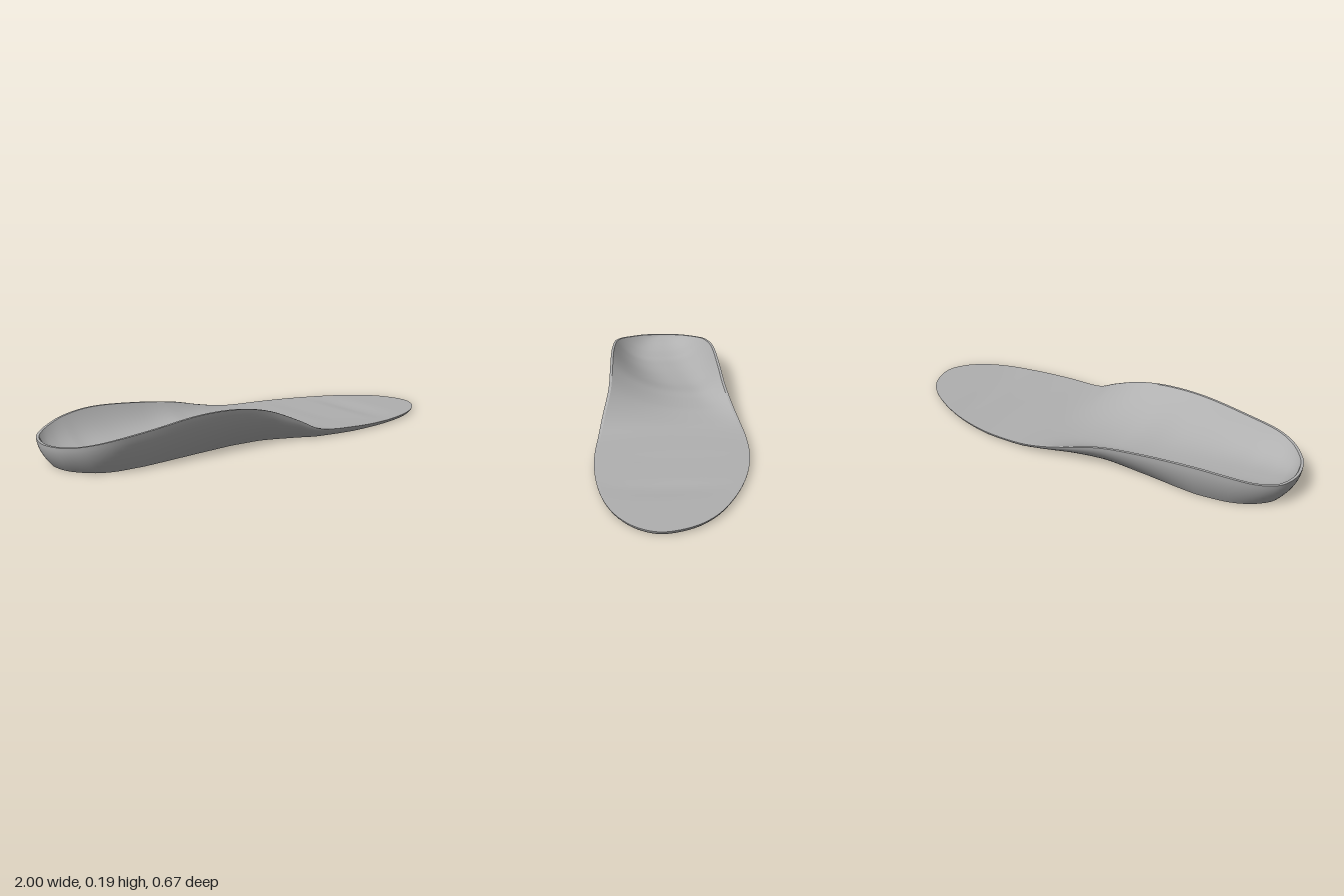
import * as THREE from 'three';

// Rim stations from heel to toe: x, left z, left height, right z, right height
const RIM = [
  [-1, 0, 0.105, 0, 0.105],
  [-0.98, 0.1, 0.109, -0.1, 0.108],
  [-0.94, 0.162, 0.115, -0.155, 0.115],
  [-0.88, 0.215, 0.127, -0.2, 0.127],
  [-0.8, 0.248, 0.141, -0.235, 0.143],
  [-0.65, 0.264, 0.16, -0.266, 0.155],
  [-0.4, 0.27, 0.189, -0.279, 0.137],
  [-0.2, 0.272, 0.183, -0.287, 0.108],
  [-0.05, 0.278, 0.152, -0.306, 0.07],
  [0.1, 0.303, 0.09, -0.328, 0.038],
  [0.2, 0.319, 0.043, -0.338, 0.027],
  [0.4, 0.334, 0.025, -0.333, 0.019],
  [0.6, 0.321, 0.017, -0.29, 0.016],
  [0.78, 0.28, 0.016, -0.215, 0.016],
  [0.9, 0.22, 0.016, -0.135, 0.016],
  [0.97, 0.15, 0.016, -0.045, 0.016],
  [1, 0.07, 0.016, 0.07, 0.016],
];
// At the same stations: footbed floor height, lowest line across (-1..1), steepness, sole inset
const FORM = [
  [0.105, 0, 3, 0.05], [0.085, 0, 3, 0.05], [0.062, 0, 3, 0.05], [0.046, 0, 3, 0.047],
  [0.038, 0, 3, 0.045], [0.035, -0.1, 2.9, 0.05], [0.042, -0.35, 2.5, 0.075],
  [0.05, -0.5, 2.2, 0.09], [0.046, -0.5, 2.2, 0.085], [0.033, -0.4, 2.2, 0.055],
  [0.026, -0.2, 2.2, 0.028], [0.018, 0, 2, 0.013], [0.016, 0, 2, 0.011],
  [0.016, 0, 2, 0.011], [0.016, 0, 2, 0.011], [0.016, 0, 2, 0.011], [0.016, 0, 2, 0.011],
];

const LAST = RIM.length - 1;
const STEPS = 6;                 // subdivisions between stations
const N = LAST * STEPS;          // stations along the length
const LOOP = 2 * N;              // points around the rim
const ACROSS = 40;
const RIM_WIDTH = 0.012;

// Closed rim curve: along the left edge to the toe, back along the right edge
const rimCurve = new THREE.CatmullRomCurve3([
  ...RIM.map(([x, zl, yl]) => new THREE.Vector3(x, yl, zl)),
  ...RIM.slice(1, -1).reverse().map(([x, , , zr, yr]) => new THREE.Vector3(x, yr, zr)),
], true);
const formCurve = new THREE.CatmullRomCurve3(FORM.map(([f, c, p]) => new THREE.Vector3(f, c, p)));

function insetAt(i) {
  const s = Math.min(Math.floor(i / STEPS), LAST - 1);
  return THREE.MathUtils.lerp(FORM[s][3], FORM[s + 1][3], i / STEPS - s);
}

// Rim point m moved inward in plan by distance d
function rimPoint(m, d) {
  const t = (m % LOOP) / LOOP;
  const p = rimCurve.getPoint(t);
  const a = rimCurve.getPoint((t + 1 - 0.002) % 1);
  const b = rimCurve.getPoint((t + 0.002) % 1);
  const len = Math.hypot(b.x - a.x, b.z - a.z);
  p.x += d * (b.z - a.z) / len;
  p.z -= d * (b.x - a.x) / len;
  return p;
}

// Smooth grid of points; wrap joins the last column to the first
function gridGeometry(cols, rows, point, wrap = false, flip = false) {
  const positions = [];
  const index = [];
  for (let i = 0; i < cols; i++) {
    for (let j = 0; j < rows; j++) positions.push(...point(i, j).toArray());
  }
  for (let i = 0; i < (wrap ? cols : cols - 1); i++) {
    for (let j = 0; j < rows - 1; j++) {
      const a = i * rows + j;
      const b = ((i + 1) % cols) * rows + j;
      if (flip) index.push(a, a + 1, b, b, a + 1, b + 1);
      else index.push(a, b, a + 1, b, b + 1, a + 1);
    }
  }
  const geometry = new THREE.BufferGeometry();
  geometry.setAttribute('position', new THREE.Float32BufferAttribute(positions, 3));
  geometry.setIndex(index);
  geometry.computeVertexNormals();
  return geometry;
}

// Footbed: a dished cross-section between the two inner rim edges
function footbedPoint(i, j) {
  const left = rimPoint(i, RIM_WIDTH);
  const right = rimPoint(LOOP - i, RIM_WIDTH);
  const t = Math.cos(Math.PI * j / ACROSS);
  const { x: floor, y: centre, z: power } = formCurve.getPoint(i / N);
  const p = right.clone().lerp(left, (t + 1) / 2);
  const edge = t > centre ? left.y : right.y;
  const s = t > centre ? (t - centre) / (1 - centre) : (centre - t) / (1 + centre);
  p.y = floor + (edge - floor) * Math.pow(s, power);
  return p;
}

// Side wall: rounds up from the inset sole edge to the rim
const WALL_ROWS = 9;
function wallPoint(m, k) {
  const v = k / (WALL_ROWS - 1);
  const inset = insetAt(m <= N ? m : LOOP - m);
  const p = rimPoint(m, inset * Math.pow(1 - v, 1.8));
  p.y *= v;
  return p;
}

// Flat sole spanning the lower wall edge
function solePoint(i, j) {
  const left = wallPoint(i, 0);
  const right = wallPoint((LOOP - i) % LOOP, 0);
  return left.lerp(right, j / 8);
}

export function createModel() {
  const group = new THREE.Group();
  group.name = 'insole';
  const grey = new THREE.MeshStandardMaterial({ color: 0xb0b0b0 });
  grey.name = 'grey foam';

  const parts = {
    footbed: gridGeometry(N + 1, ACROSS + 1, footbedPoint),
    rim: gridGeometry(LOOP, 2, (m, k) => rimPoint(m, k * RIM_WIDTH), true),
    sideWall: gridGeometry(LOOP, WALL_ROWS, wallPoint, true),
    sole: gridGeometry(N + 1, 9, solePoint, false, true),
  };
  for (const [name, geometry] of Object.entries(parts)) {
    const mesh = new THREE.Mesh(geometry, grey);
    mesh.name = name;
    group.add(mesh);
  }
  return group;
}
